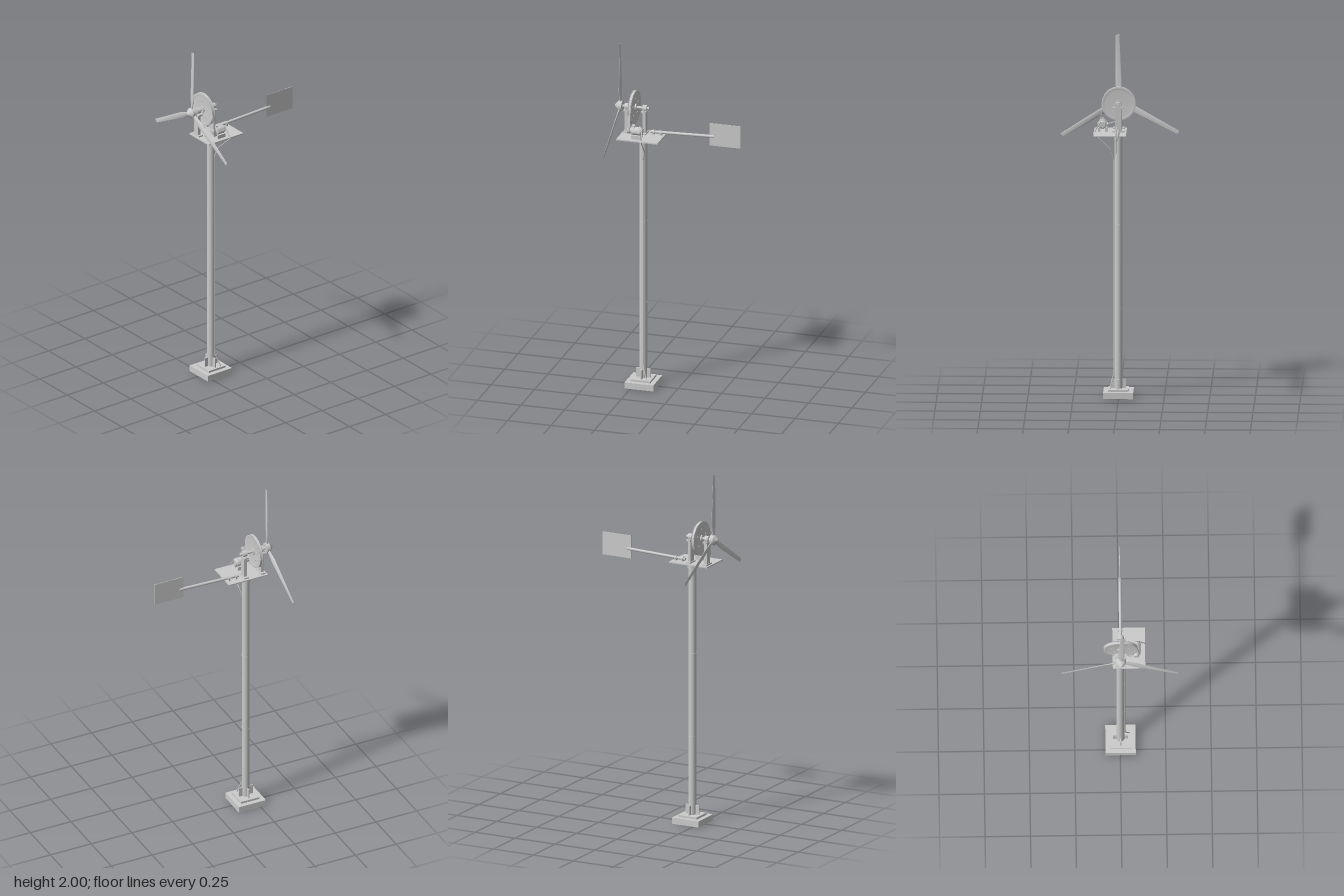
import * as THREE from 'three';

const V = (x, y, z) => new THREE.Vector3(x, y, z);

export function createModel() {
  const model = new THREE.Group();
  const mat = new THREE.MeshStandardMaterial({ color: 0xcccccc });
  const thin = new THREE.MeshStandardMaterial({ color: 0xcccccc, side: THREE.DoubleSide });
  const TZ = 0.2;    // tower axis z
  const SY = 1.63;   // rotor shaft height
  const DECK = 1.483; // top of platform

  const add = (name, geo, x = 0, y = 0, z = 0, parent = model, m = mat) => {
    const mesh = new THREE.Mesh(geo, m);
    mesh.name = name;
    mesh.position.set(x, y, z);
    parent.add(mesh);
    return mesh;
  };
  const box = (name, w, h, d, x, y, z, parent) =>
    add(name, new THREE.BoxGeometry(w, h, d), x, y, z, parent);
  const cyl = (name, r, h, x, y, z, parent, r2 = r, n = 24) =>
    add(name, new THREE.CylinderGeometry(r2, r, h, n), x, y, z, parent);
  // cylinder along z between two depths; r is the rear radius, r2 the front radius
  const rod = (name, r, z0, z1, x, y, parent, r2 = r, n = 24) => {
    const mesh = cyl(name, r, z1 - z0, x, y, (z0 + z1) / 2, parent, r2, n);
    mesh.rotation.x = Math.PI / 2;
    return mesh;
  };

  // Stepped foundation
  box('foundation', 0.166, 0.035, 0.166, 0.002, 0.0175, TZ);
  box('basePlate', 0.114, 0.012, 0.114, 0.002, 0.041, TZ);
  for (let i = 0; i < 4; i++) {
    const a = i * Math.PI / 2;
    const fin = box('gusset', 0.026, 0.055, 0.007,
      0.002 + Math.cos(a) * 0.029, 0.0725, TZ - Math.sin(a) * 0.029);
    fin.rotation.y = a;
  }

  // Tower in three sections, with joint rings and a top collar
  cyl('tower', 0.0215, 1.435, 0.002, 0.7575, TZ);
  for (const y of [0.49, 0.965]) cyl('towerJoint', 0.0225, 0.006, 0.002, y, TZ);
  cyl('towerCollar', 0.027, 0.024, 0.002, 1.464, TZ);

  // Platform
  box('platform', 0.179, 0.007, 0.238, 0.0475, DECK - 0.0035, 0.196);

  // Bearing posts with pillow blocks
  for (const z of [0.19, 0.293]) {
    const post = new THREE.Group();
    post.name = 'bearingPost';
    post.position.z = z;
    model.add(post);
    box('postFoot', 0.064, 0.008, 0.026, 0.002, DECK + 0.004, 0, post);
    box('post', 0.036, 0.13, 0.018, 0.002, DECK + 0.065, 0, post);
    box('bearingFlange', 0.066, 0.008, 0.025, 0.002, SY - 0.015, 0, post);
    rod('bearing', 0.018, -0.012, 0.012, 0.002, SY, post);
    for (const s of [-1, 1]) cyl('bearingBolt', 0.004, 0.006, 0.002 + s * 0.026, SY - 0.009, 0, post, 0.004, 6);
  }
  rod('shaft', 0.008, 0.165, 0.325, 0.002, SY);

  // Large grooved pulley
  const profile = [[0, -0.006], [0.078, -0.006], [0.08, -0.01], [0.094, -0.01], [0.094, -0.007],
    [0.088, -0.006], [0.088, 0.006], [0.094, 0.007], [0.094, 0.01], [0.08, 0.01], [0.078, 0.006], [0, 0.006]];
  const wheelGeo = new THREE.LatheGeometry(profile.map(p => new THREE.Vector2(...p)), 48);
  const wheel = add('largePulley', wheelGeo, 0.002, SY, 0.252);
  wheel.rotation.x = Math.PI / 2;
  rod('pulleyHub', 0.019, 0.238, 0.266, 0.002, SY);
  for (let i = 0; i < 5; i++) {
    const a = i * Math.PI * 0.4 + 0.3;
    rod('pulleyBolt', 0.005, 0.243, 0.261, 0.002 + 0.05 * Math.cos(a), SY + 0.05 * Math.sin(a), model, 0.005, 8);
  }

  // Generator beside the shaft
  const gen = new THREE.Group();
  gen.name = 'generator';
  gen.position.set(0.089, 1.525, 0);
  model.add(gen);
  rod('generatorBody', 0.023, 0.185, 0.235, 0, 0, gen);
  rod('generatorRearCap', 0.017, 0.177, 0.186, 0, 0, gen, 0.023);
  rod('generatorFrontCap', 0.023, 0.234, 0.241, 0, 0, gen, 0.016);
  rod('smallPulley', 0.014, 0.241, 0.263, 0, 0, gen);
  for (const z of [0.194, 0.227]) rod('generatorBand', 0.0255, z - 0.004, z + 0.004, 0, 0, gen);
  for (const s of [-1, 1]) {
    box('generatorFoot', 0.012, 0.022, 0.05, s * 0.019, -0.031, 0.21, gen);
    box('generatorLug', 0.008, 0.008, 0.045, s * 0.025, 0, 0.21, gen);
  }
  box('terminalBox', 0.014, 0.01, 0.014, 0, 0.025, 0.228, gen);

  // Belt: outer hull of both pulleys, with a matching opening
  const dx = 0.087, dy = 1.525 - SY;
  const dist = Math.hypot(dx, dy), dir = Math.atan2(dy, dx);
  const hull = (path, R, r) => {
    const off = Math.acos((R - r) / dist);
    path.absarc(0, 0, R, dir + off, dir - off + Math.PI * 2, false);
    path.absarc(dx, dy, r, dir - off, dir + off, false);
    path.closePath();
    return path;
  };
  const beltShape = hull(new THREE.Shape(), 0.0925, 0.0175);
  beltShape.holes.push(hull(new THREE.Path(), 0.0885, 0.0135));
  add('belt', new THREE.ExtrudeGeometry(beltShape, { depth: 0.011, bevelEnabled: false, curveSegments: 32 }),
    0.002, SY, 0.2465);

  // Hub, nose cone and three twisted blades
  const rotor = new THREE.Group();
  rotor.name = 'rotor';
  rotor.position.set(0.002, SY, 0);
  model.add(rotor);
  rod('hub', 0.029, 0.319, 0.341, 0, 0, rotor);
  rod('noseCone', 0.029, 0.341, 0.361, 0, 0, rotor, 0.007);
  const bladeGeo = new THREE.CylinderGeometry(1, 1, 1, 12, 14);
  const p = bladeGeo.attributes.position;
  for (let i = 0; i < p.count; i++) {
    const t = p.getY(i) + 0.5;
    const flare = THREE.MathUtils.smoothstep(t, 0.05, 0.22);
    const half = THREE.MathUtils.lerp(0.01, 0.0205 - 0.009 * t, flare);
    const thick = THREE.MathUtils.lerp(0.005, 0.0012, t);
    const twist = 0.28 * (1 - t);
    const u = p.getX(i) * half, w = p.getZ(i) * thick;
    p.setXYZ(i, u * Math.cos(twist) - w * Math.sin(twist), 0.015 + t * 0.355,
      u * Math.sin(twist) + w * Math.cos(twist));
  }
  bladeGeo.computeVertexNormals();
  for (let i = 0; i < 3; i++) {
    add('blade', bladeGeo, 0, 0, 0.331, rotor).rotation.z = -0.026 + i * Math.PI * 2 / 3;
  }

  // Tail boom, its clamps and the vane
  const tail = new THREE.Group();
  tail.name = 'tail';
  model.add(tail);
  const boom = rod('boom', 0.008, -0.206, 0.157, 0.003, 1.503, tail);
  boom.rotation.x += 0.033;
  for (const z of [0.097, 0.14]) {
    rod('boomClamp', 0.0125, z - 0.005, z + 0.005, 0.003, 1.497, tail);
    box('clampFoot', 0.022, 0.012, 0.01, 0.003, DECK + 0.005, z, tail);
  }
  box('vane', 0.003, 0.131, 0.178, 0.003, 1.52, -0.272, tail);

  // Cable from the generator down the tower to the base
  const cable = new THREE.CurvePath();
  const pts = [V(0.1, 1.54, 0.178), V(0.14, 1.478, 0.17), V(0.045, 1.388, 0.18), V(0.026, 1.33, 0.194),
    V(0.026, 0.13, 0.194), V(0.05, 0.046, 0.168)];
  for (let i = 1; i < pts.length; i++) cable.add(new THREE.LineCurve3(pts[i - 1], pts[i]));
  cable.curves.forEach(c => add('cable', new THREE.TubeGeometry(c, 1, 0.003, 8), 0, 0, 0, model, thin));
  pts.forEach(q => add('cableBend', new THREE.SphereGeometry(0.003, 8, 6), q.x, q.y, q.z));

  return model;
}
